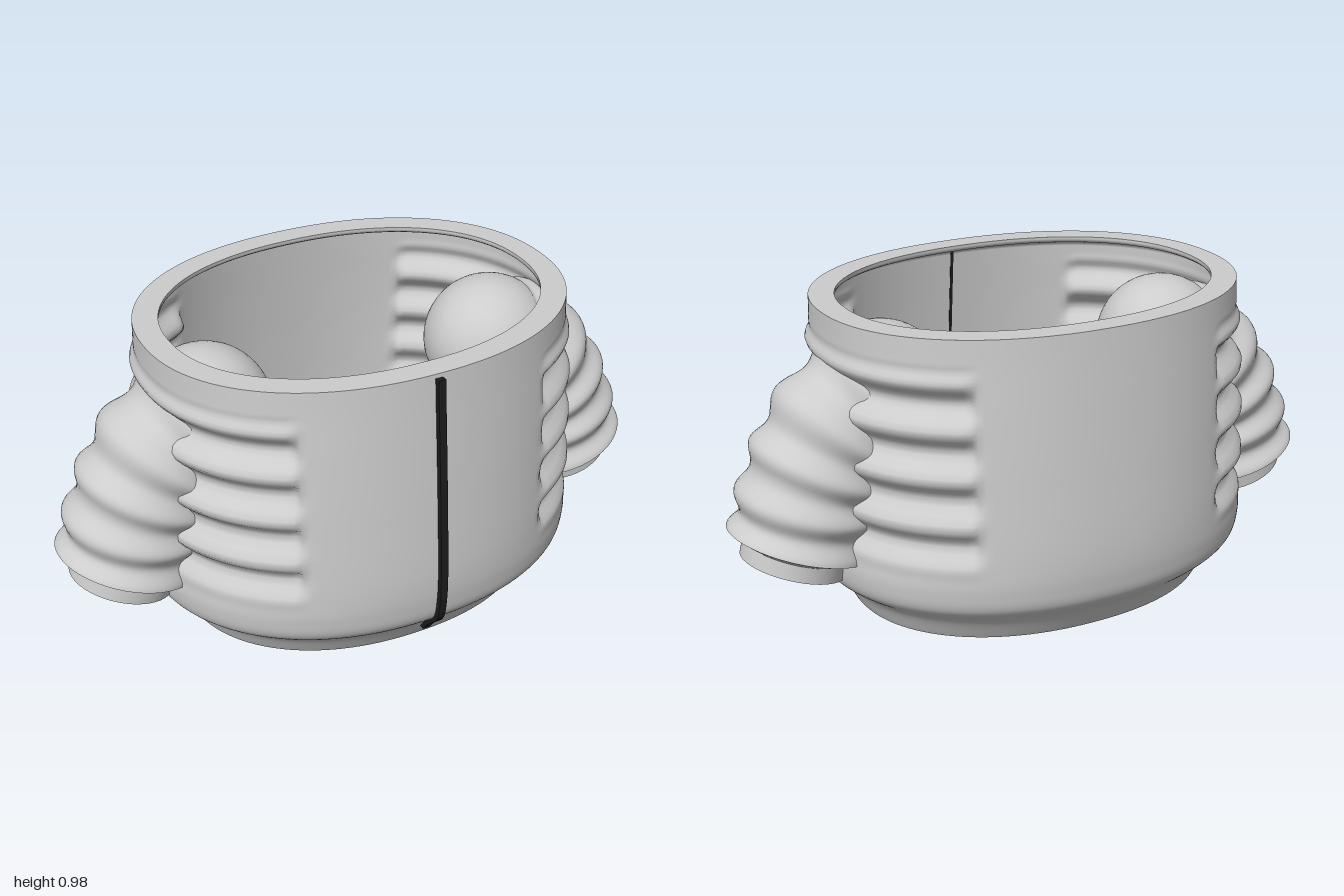
import * as THREE from 'three';
import { mergeGeometries } from 'three/addons/utils/BufferGeometryUtils.js';

const Z0 = -0.01; // depth centre of the torso
const ARM_Z = -0.013; // depth centre of the sleeves
const { smoothstep } = THREE.MathUtils;

// Surface from closed cross-section loops: point(i, angle) -> [x, y, z]
function loft(rows, cols, point, flip = false) {
  const pos = [], index = [];
  for (let i = 0; i <= rows; i++)
    for (let j = 0; j < cols; j++) pos.push(...point(i, (j / cols) * Math.PI * 2));
  for (let i = 0; i < rows; i++)
    for (let j = 0; j < cols; j++) {
      const a = i * cols + j, b = i * cols + ((j + 1) % cols);
      const d = a + cols, e = b + cols;
      if (flip) index.push(a, b, d, b, e, d);
      else index.push(a, d, b, b, d, e);
    }
  const g = new THREE.BufferGeometry();
  g.setAttribute('position', new THREE.Float32BufferAttribute(pos, 3));
  g.setIndex(index);
  g.computeVertexNormals();
  return g;
}

// Torso outline from hem to neck: (side radius, height, front radius)
const outline = new THREE.CatmullRomCurve3([
  [0.585, 0.008, 0.455], [0.622, 0.08, 0.5], [0.7, 0.15, 0.565], [0.714, 0.21, 0.578],
  [0.708, 0.3, 0.582], [0.703, 0.54, 0.567], [0.694, 0.75, 0.55], [0.682, 0.9, 0.537],
  [0.68, 0.985, 0.53],
].map(p => new THREE.Vector3(...p)), false, 'centripetal');

// Wall thickness: thin cloth with a thick lip at the neck and the hem
const THIN = 0.015, LIP = 0.063;
const wall = y => THIN + LIP * (smoothstep(y, 0.945, 0.97) + 1 - smoothstep(y, 0.03, 0.13));

// Slightly squared ellipse
const round = v => Math.sign(v) * Math.abs(v) ** 0.92;

// Torso point, depth 0 = outside, 1 = lining; the sides are ribbed, front and back plain
function torsoPoint(t, angle, depth) {
  const p = outline.getPoint(t);
  const c = round(Math.cos(angle)), s = round(Math.sin(angle));
  const side = smoothstep(Math.abs(c * p.x), 0.405, 0.43);
  const range = smoothstep(p.y, 0.24, 0.38) * (1 - smoothstep(p.y, 0.85, 0.91));
  const wave = 0.5 + 0.5 * Math.cos(((p.y - 0.785) / 0.145) * Math.PI * 2);
  const off = depth * wall(p.y) + side * range * (0.048 * wave - 0.01);
  return [(p.x - off) * c, p.y, (p.z - off) * s + Z0];
}

// Sleeve centre line, from the shoulder dome to the wrist
const armLine = new THREE.CatmullRomCurve3([
  [0.5, 0.72, 0], [0.635, 0.625, 0], [0.727, 0.47, 0], [0.787, 0.278, 0],
].map(p => new THREE.Vector3(...p)));

// Armholes: drop the torso faces hidden inside the sleeves
function cutArmholes(geometry) {
  const centres = armLine.getSpacedPoints(24);
  const pos = geometry.attributes.position, index = geometry.index.array, kept = [];
  const v = new THREE.Vector3();
  for (let f = 0; f < index.length; f += 3) {
    v.fromBufferAttribute(pos, index[f]);
    v.set(Math.abs(v.x), v.y, v.z - ARM_Z);
    if (centres.every(c => c.distanceTo(v) > 0.165))
      kept.push(index[f], index[f + 1], index[f + 2]);
  }
  geometry.setIndex(kept);
  return geometry;
}

function torsoGeometry() {
  const R = 96, C = 180;
  return cutArmholes(mergeGeometries([
    loft(R, C, (i, a) => torsoPoint(i / R, a, 0)),        // outside
    loft(1, C, (i, a) => torsoPoint(1, a, i)),            // neck rim
    loft(R, C, (i, a) => torsoPoint(1 - i / R, a, 1)),    // lining
    loft(1, C, (i, a) => torsoPoint(0, a, 1 - i)),        // hem rim
  ]));
}

// Point on a ring around the centre line; push slides it along the line's direction
function armPoint(side, t, push, r, angle) {
  const p = armLine.getPointAt(t), d = armLine.getTangentAt(t);
  const k = r * Math.cos(angle);
  return [side * (p.x + d.x * push - d.y * k), p.y + d.y * push + d.x * k,
    ARM_Z + r * Math.sin(angle)];
}

function sleeveGeometry(side) {
  const DOME = 14, ROWS = 70, R = 0.21;
  return loft(DOME + ROWS, 48, (i, a) => {
    if (i < DOME) {
      const q = (i / DOME) * Math.PI / 2;
      return armPoint(side, 0, -R * Math.cos(q), R * Math.sin(q), a);
    }
    const t = (i - DOME) / ROWS;
    const rib = 0.014 * Math.cos((1 - t) * Math.PI * 2 * 4.5) * Math.min(1, t * 9);
    return armPoint(side, t, 0, R + rib, a);
  }, side > 0);
}

// Bands around the wrist; each band keeps its own normals
function cuffGeometry(side) {
  const profile = [[0, 0.224], [0.025, 0.168], [0.077, 0.165], [0.077, 0.105]];
  return mergeGeometries(profile.slice(1).map((end, n) => loft(1, 40, (i, a) => {
    const [push, r] = i ? end : profile[n];
    return armPoint(side, 1, push, r, a);
  }, side > 0)));
}

// Strip following a front edge given as [z, y] points
function stripGeometry(edge, depth, width) {
  const back = edge.map(([z, y]) => [z - depth, y]).reverse();
  const shape = new THREE.Shape([...edge, ...back].map(p => new THREE.Vector2(...p)));
  const g = new THREE.ExtrudeGeometry(shape, { depth: width, bevelEnabled: false });
  g.rotateY(-Math.PI / 2);
  g.translate(width / 2, 0, 0);
  return g;
}

export function createModel() {
  const model = new THREE.Group();
  model.name = 'jacket';
  const material = (name, color) => {
    const m = new THREE.MeshStandardMaterial({ color });
    m.name = name;
    return m;
  };
  const fabric = material('grey fabric', 0xcccccc);
  const black = material('black zip', 0x1c1c1c);
  const add = (name, geometry, mat, parent = model) => {
    const mesh = new THREE.Mesh(geometry, mat);
    mesh.name = name;
    parent.add(mesh);
  };

  add('torso', torsoGeometry(), fabric);

  // Sleeves with narrow open cuffs
  for (const side of [1, -1]) {
    const arm = new THREE.Group();
    arm.name = side > 0 ? 'leftSleeve' : 'rightSleeve';
    add('sleeve', sleeveGeometry(side), fabric, arm);
    add('cuff', cuffGeometry(side), fabric, arm);
    model.add(arm);
  }

  // Zip on the outside, and a thin line of it on the lining
  const zip = [], liningZip = [];
  for (let i = 0; i <= 24; i++) {
    const t = 0.08 + (i / 24) * 0.9;
    const [, y, z] = torsoPoint(t, Math.PI / 2, 0);
    zip.push([z + 0.018, y]);
    liningZip.push([z - THIN + 0.003, y]);
  }
  add('zip', stripGeometry(zip, 0.026, 0.024), black);
  add('liningZip', stripGeometry(liningZip, 0.005, 0.01), black);

  return model;
}
